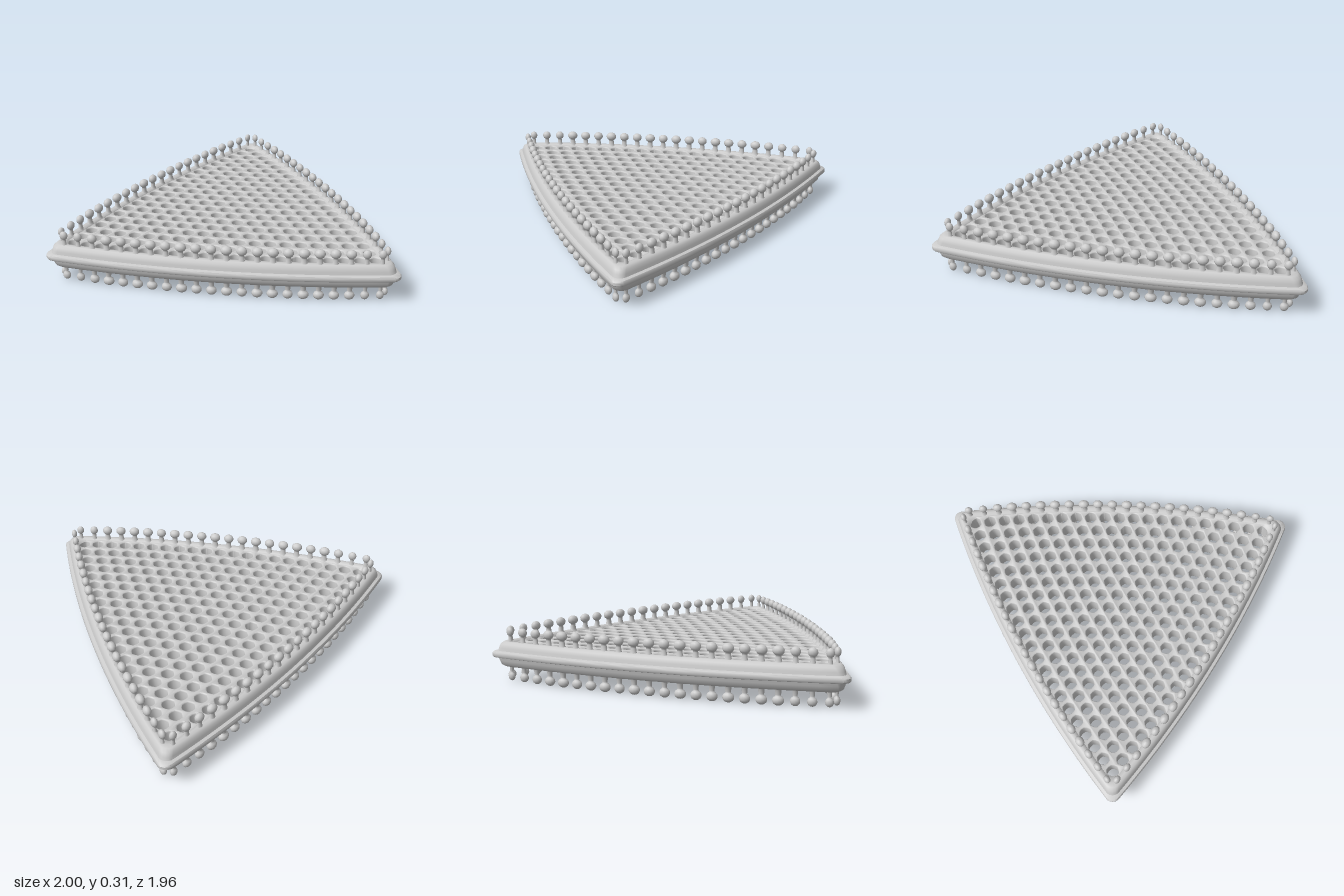
import * as THREE from 'three';
import { toCreasedNormals } from 'three/addons/utils/BufferGeometryUtils.js';

const V = (x, z) => new THREE.Vector2(x, z);
const MID = 0.163;                       // height of the middle plane
const CORNERS = [V(-1.02, -0.53), V(1.01, -0.99), V(0.35, 0.995)];
const CENTRE = V(0.113, -0.175);
const ROUND = 0.045;                     // corner radius in plan

// Corners of the triangle moved inwards so that its sides shift by d
const insetCorners = (d) => CORNERS.map((p) =>
  p.clone().add(CENTRE.clone().sub(p).normalize().multiplyScalar(1.59 * d)));

const outward = (t) => V(t.y, -t.x);

// Outward push at the middle of a side; longer sides bow further
const bulge = (a, b) => outward(b.clone().sub(a).normalize())
  .multiplyScalar(0.085 * (a.distanceTo(b) / 2.08) ** 2);

// The three bowed sides at a given inset
function sides(d) {
  const c = insetCorners(d);
  return c.map((a, i) => {
    const b = c[(i + 1) % 3];
    const control = a.clone().add(b).multiplyScalar(0.5).addScaledVector(bulge(a, b), 2);
    return new THREE.QuadraticBezierCurve(a, control, b);
  });
}

// Closed plan outline with rounded corners
function outline(d, steps = 24, fan = 6) {
  const curves = sides(d + ROUND), points = [];
  curves.forEach((curve, i) => {
    for (let k = 0; k <= steps; k++) {
      const n = outward(curve.getTangent(k / steps));
      points.push(curve.getPoint(k / steps).addScaledVector(n, ROUND));
    }
    const n0 = outward(curve.getTangent(1));
    const n1 = outward(curves[(i + 1) % 3].getTangent(0));
    for (let k = 1; k < fan; k++) {
      const n = n0.clone().lerp(n1, k / fan).normalize();
      points.push(curve.getPoint(1).addScaledVector(n, ROUND));
    }
  });
  return points;
}

// Ring swept round the outline from a closed (inset, height) profile
function ringGeometry(profile) {
  const loops = profile.map(([d]) => outline(d));
  const n = loops[0].length, m = profile.length, pos = [], index = [];
  loops.forEach((loop, k) => loop.forEach((p) => pos.push(p.x, MID + profile[k][1], p.y)));
  for (let k = 0; k < m; k++) {
    for (let s = 0; s < n; s++) {
      const s2 = (s + 1) % n, k2 = (k + 1) % m;
      const a = k * n + s, b = k * n + s2, c = k2 * n + s, e = k2 * n + s2;
      index.push(a, b, c, b, e, c);
    }
  }
  const geo = new THREE.BufferGeometry();
  geo.setAttribute('position', new THREE.Float32BufferAttribute(pos, 3));
  geo.setIndex(index);
  return toCreasedNormals(geo, 0.7);
}

// Centres of the cells: a triangular lattice bowed like the sides
function cellCentres(d, rows) {
  const c = insetCorners(d), cells = [];
  for (let i = 0; i <= rows; i++) {
    for (let j = 0; j <= rows - i; j++) {
      const w = [i / rows, j / rows, (rows - i - j) / rows];
      const p = V(0, 0);
      for (let k = 0; k < 3; k++) {
        const l = (k + 1) % 3;
        p.addScaledVector(c[k], w[k]).addScaledVector(bulge(c[k], c[l]), 4 * w[k] * w[l]);
      }
      cells.push(p);
    }
  }
  return cells;
}

// Thick perforated plate
function latticeGeometry() {
  const flip = (p) => V(p.x, -p.y);
  const shape = new THREE.Shape(outline(0.068).map(flip));
  for (const p of cellCentres(0.117, 20)) {
    const hole = new THREE.Path();
    for (let k = 0; k < 12; k++) {
      const a = (k / 12) * Math.PI * 2;
      const r = 0.034 + 0.0012 * Math.cos(6 * a);
      const x = p.x + r * Math.cos(a), y = -p.y + r * Math.sin(a);
      if (k === 0) hole.moveTo(x, y); else hole.lineTo(x, y);
    }
    hole.closePath();
    shape.holes.push(hole);
  }
  const geo = new THREE.ExtrudeGeometry(shape, {
    depth: 0.106, bevelEnabled: true, bevelSize: 0.006, bevelOffset: -0.006,
    bevelThickness: 0.008, bevelSegments: 2, curveSegments: 1,
  });
  geo.rotateX(-Math.PI / 2).translate(0, MID - 0.053, 0);
  return toCreasedNormals(geo, 0.9);
}

export function createModel() {
  const group = new THREE.Group();
  const material = new THREE.MeshStandardMaterial({ color: 0xcccccc });
  const add = (name, geometry, parent = group) => {
    const mesh = new THREE.Mesh(geometry, material);
    mesh.name = name;
    parent.add(mesh);
    return mesh;
  };

  // Outer wall with a projecting belt round its middle
  const upper = [[0.084, 0.054], [0.075, 0.067], [0.058, 0.073], [0.042, 0.07],
    [0.03, 0.058], [0.024, 0.036], [0.02, 0.02], [0.004, 0.015], [0, 0.008]];
  const lower = upper.map(([d, y]) => [d, -y]).reverse();
  add('rimWall', ringGeometry([...upper, ...lower]));

  add('honeycombPlate', latticeGeometry());

  // Knobs: a thin stalk under a flattened round head
  const profile = [V(0.02, 0), V(0.013, 0.012), V(0.0115, 0.035)];
  for (let k = 1; k <= 7; k++) {
    const a = -Math.PI / 2 + 0.45 + (k - 1) / 6 * (Math.PI - 0.45);
    profile.push(V(Math.max(0, 0.024 * Math.cos(a)), 0.066 + 0.027 * Math.sin(a)));
  }
  const knobGeometry = new THREE.LatheGeometry(profile, 12);
  const COUNT = 22;
  for (const face of [1, -1]) {
    const row = new THREE.Group();
    row.name = face > 0 ? 'upperKnobs' : 'lowerKnobs';
    group.add(row);
    sides(0.06).forEach((curve, side) => {
      for (let k = 0; k < COUNT; k++) {
        const t = (k + 0.5) / COUNT;
        const p = curve.getPointAt(t), dir = curve.getTangentAt(t);
        const nearCorner = Math.min(k, COUNT - 1 - k);
        const size = 0.72 + 0.28 * Math.min(1, nearCorner / 3);
        const vary = 1 + 0.05 * Math.sin(k * 2.3 + side * 1.7);
        const knob = add('knob', knobGeometry, row);
        knob.position.set(p.x, MID + face * 0.064, p.y);
        knob.rotation.set(face > 0 ? 0 : Math.PI, -face * Math.atan2(dir.y, dir.x), 0);
        knob.scale.set(1.3 * size * vary, 0.85 + 0.15 * size, size * vary);
      }
    });
  }
  return group;
}
